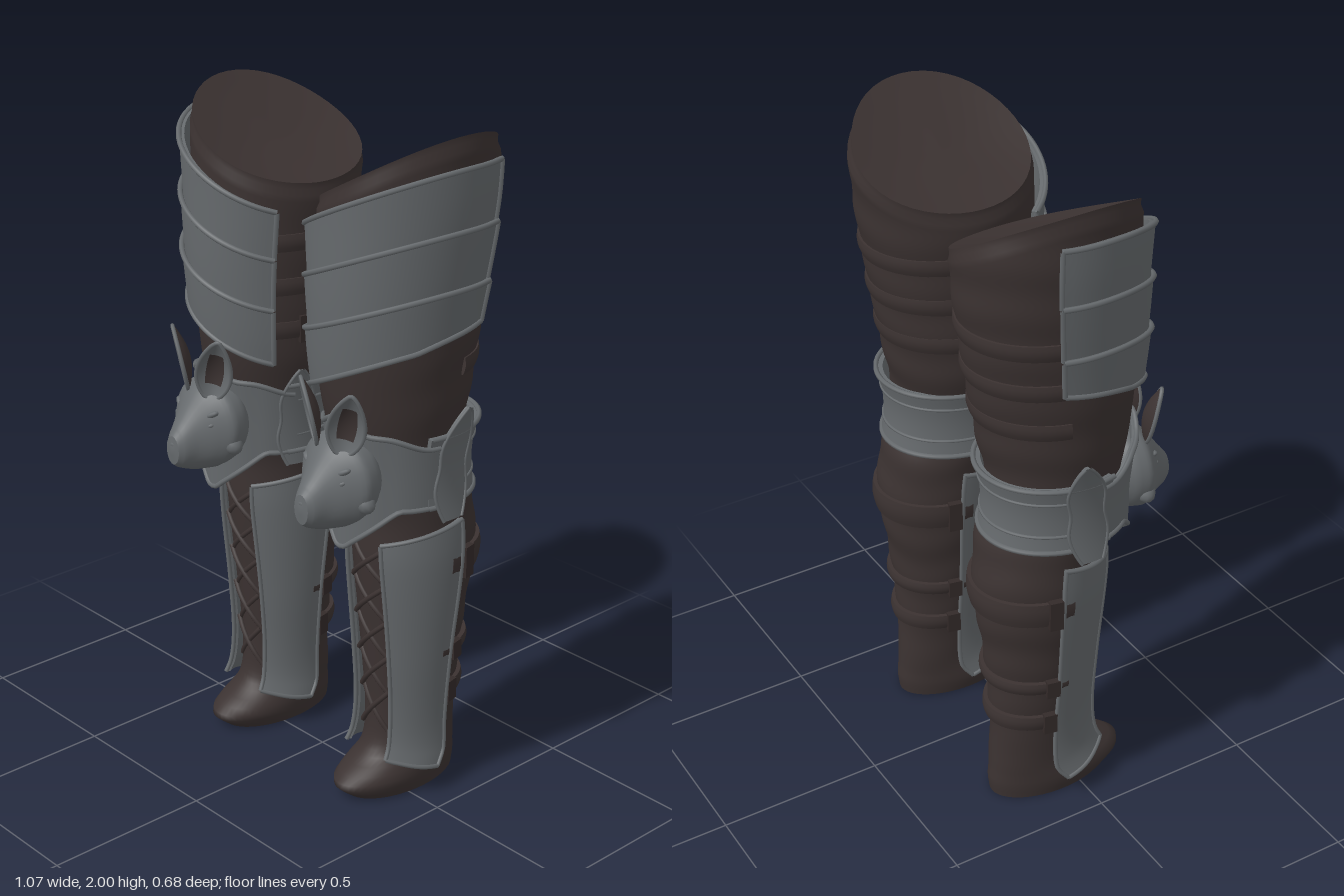
import * as THREE from 'three';
import { mergeVertices, mergeGeometries } from 'three/addons/utils/BufferGeometryUtils.js';

const D = Math.PI / 180;
const { lerp } = THREE.MathUtils;
const mat = (name, color) => Object.assign(new THREE.MeshStandardMaterial({ color }), { name });

// Cross-sections: [y, centre x, radius x, centre z, radius z]
const LEG = [
  [0, .28, .104, -.055, .195], [.045, .28, .114, -.033, .222], [.075, .28, .112, -.047, .205], [.12, .28, .107, -.085, .165],
  [.22, .28, .11, -.095, .148], [.45, .28, .135, -.095, .157], [.75, .28, .165, -.1, .187],
  [.9, .275, .17, -.092, .182], [1.05, .27, .17, -.045, .187], [1.25, .262, .197, -.038, .222],
  [1.5, .265, .21, -.05, .25], [1.8, .268, .227, -.07, .264], [2, .268, .228, -.07, .264],
];
const KNEE = [[.8, .28, .172, -.05, .205], [1.05, .28, .18, -.042, .205], [1.25, .28, .196, -.045, .225]];

// Smoothly interpolated cross-section at height y
function section(prof, y) {
  let i = 0;
  while (i < prof.length - 2 && y > prof[i + 1][0]) i++;
  const a = prof[i], b = prof[i + 1], p = prof[i - 1] || a, n = prof[i + 2] || b, h = b[0] - a[0];
  const t = THREE.MathUtils.clamp((y - a[0]) / h, 0, 1), t2 = t * t, t3 = t2 * t;
  return a.map((_, k) => {
    const ma = (b[k] - p[k]) / (b[0] - p[0]) * h, mb = (n[k] - a[k]) / (n[0] - a[0]) * h;
    return (2 * t3 - 3 * t2 + 1) * a[k] + (t3 - 2 * t2 + t) * ma + (3 * t2 - 2 * t3) * b[k] + (t3 - t2) * mb;
  });
}
// Point at angle a (0 = front, 90 degrees = outer side), height y, pushed out by off
function at(prof, a, y, off = 0) {
  const [, cx, rx, cz, rz] = section(prof, y);
  return new THREE.Vector3(cx + (rx + off) * Math.sin(a), y, cz + (rz + off) * Math.cos(a));
}
// Surface f(u, v) with faces toward u x v
function grid(nu, nv, f, flip = false) {
  const pos = [], idx = [];
  for (let j = 0; j <= nv; j++) for (let i = 0; i <= nu; i++) pos.push(...f(i / nu, j / nv).toArray());
  for (let j = 0; j < nv; j++) for (let i = 0; i < nu; i++) {
    const a = j * (nu + 1) + i, b = a + 1, c = a + nu + 1, d = c + 1;
    idx.push(...(flip ? [a, d, b, a, c, d] : [a, b, d, a, d, c]));
  }
  let g = new THREE.BufferGeometry();
  g.setAttribute('position', new THREE.Float32BufferAttribute(pos, 3));
  g.setIndex(idx);
  g = mergeVertices(g, 1e-5);
  g.computeVertexNormals();
  return g;
}
// Curved plate: fn(u, v) gives [angle, y, offset]
function plate(prof, fn, nu, nv, th = .012) {
  const o = (u, v) => { const [a, y, f] = fn(u, v); return at(prof, a, y, f); };
  const n = (u, v) => { const [a, y, f] = fn(u, v); return at(prof, a, y, f - th); };
  const mix = (u, v, t) => o(u, v).lerp(n(u, v), t);
  return mergeGeometries([
    grid(nu, nv, o), grid(nu, nv, n, true),
    grid(nu, 1, (u, t) => mix(u, 0, t), true), grid(nu, 1, (u, t) => mix(u, 1, t)),
    grid(1, nv, (t, v) => mix(0, v, t), true), grid(1, nv, (t, v) => mix(1, v, t)),
  ]);
}
function tube(points, r) {
  const g = new THREE.TubeGeometry(new THREE.CatmullRomCurve3(points, false, 'centripetal'), points.length * 2, r, 6);
  return g.deleteAttribute('uv');
}
// Rolled rims along plate edges: 'b'ottom, 't'op, 'l'eft, 'r'ight
function rims(prof, fn, sides, r) {
  const walk = { b: t => [t, 0], t: t => [t, 1], l: t => [0, t], r: t => [1, t] };
  return mergeGeometries([...sides].map(s => tube(Array.from({ length: 21 }, (_, i) => {
    const [a, y, f] = fn(...walk[s](i / 20));
    return at(prof, a, y, f);
  }), r)));
}

export function createModel() {
  const leather = mat('dark leather', 0x3b3231), steel = mat('dull steel', 0x666a6d), strapMat = mat('strap leather', 0x332a29);
  const parts = [];
  const add = (name, geo, m) => parts.push([name, geo, m]);

  // Leather legging with slanted top and soft folds at the back
  const topY = a => 1.862 + .1175 * Math.sin(a) + .0175 * Math.sin(a) ** 2;
  const skin = (a, v) => {
    const y = v * topY(a), fold = (1 - Math.cos(a)) / 2 * Math.min(1, y * 2);
    return at(LEG, a, y, .003 * fold * Math.sin(y * 42 + Math.sin(a * 2)) - (v > .985 ? .008 : 0));
  };
  add('legging', grid(48, 100, (u, v) => skin(u * 2 * Math.PI, v)), leather);
  const cap = (v, mid, dip) => grid(48, 8, (u, t) => {
    const p = skin(u * 2 * Math.PI, v);
    p.lerp(mid, t);
    p.y -= dip * (1 - (1 - t) ** 2);
    return p;
  }, v === 0);
  add('leggingTop', cap(1, new THREE.Vector3(.268, 1.87, -.07), .03), leather);
  add('sole', cap(0, new THREE.Vector3(.28, 0, -.05), -.012), leather);

  // Three overlapping thigh plates wrapping the outer side
  const rows = [[1.245, 1.435], [1.41, 1.585], [1.56, 1.75], [1.70, 1.92]];
  const rise = a => (Math.sin(Math.min(a, Math.PI / 2)) + .8) / 1.8;
  for (let k = 0; k < 3; k++) {
    const fn = (u, v) => {
      const a = lerp(-53, 110, u) * D, t = rise(a);
      const back = k === 0 ? .035 * Math.max(0, (u - .7) / .3) * (1 - v) : 0;
      return [a, lerp(lerp(...rows[k], t), lerp(...rows[k + 1], t), v) + back, .024 + .008 * v];
    };
    add('thighPlate', plate(LEG, fn, 28, 5, .016), steel);
    add('thighPlateRim', rims(LEG, fn, k === 0 ? 'btlr' : 'tlr', .008), steel);
  }

  // Straps around the back of thigh and calf, with buckles
  const strap = (y, h, a0, a1, off) => add('strap',
    plate(LEG, (u, v) => [lerp(a0, a1, u) * D, y + (v - .5) * h, off + .005 * Math.sin(v * Math.PI)], 28, 4, .02), leather);
  const buckle = (a, y, w, h, off) => {
    const p = at(LEG, a * D, y, off);
    add('buckle', new THREE.BoxGeometry(w, h, .02).rotateY(a * D).translate(p.x, p.y, p.z), strapMat);
  };
  for (const y of [1.34, 1.47, 1.6]) strap(y, .05, 105, 312, .004);
  buckle(-88, 1.6, .07, .07, .008);
  buckle(-80, 1.34, .06, .08, 0);
  for (const [y, h] of [[.74, .08], [.45, .04], [.31, .05]]) {
    strap(y, h, 85, 275, .013);
    buckle(102, y, .04, h + .015, .016);
    buckle(-102, y, .04, h + .015, .016);
  }

  // Two shin plates with an open front
  for (const s of [1, -1]) {
    const fn = (u, v) => {
      const t = s > 0 ? u : 1 - u, a = lerp(lerp(34, 21, v), 95, t);
      return [s * a * D, lerp(.13 - .05 * t, .82 + .06 * t, v), .016 + .02 * (1 - v) ** 6 + .006 * (1 - t) ** 4];
    };
    add('shinPlate', plate(LEG, fn, 12, 24, .014), steel);
    add('shinPlateRim', rims(LEG, fn, 'btlr', .007), steel);
  }

  // Crossed laces between the shin plates
  for (let k = 0; k < 5; k++) for (const s of [1, -1]) {
    const y = .2 + k * .12;
    add('lace', tube([-1, -.5, 0, .5, 1].map(t => at(LEG, s * t * 26 * D, y + (t + 1) * .065, .004 + .003 * s)), .008), leather);
  }

  // Knee cap with pointed lower edge
  const capFn = (u, v) => {
    const d = lerp(-72, 80, u), s = Math.abs(d) / 75;
    const lo = .82 + .13 * Math.min(1, Math.abs(d) / 48), hi = 1.13 + .09 * Math.exp(-((d / 20) ** 2)) + .04 * Math.sin(Math.min(1, s) * Math.PI) ** 2;
    return [d * D, lerp(lo, hi, v), .012 + .02 * Math.max(0, 1 - Math.abs(d) / 40)];
  };
  add('kneeCap', plate(KNEE, capFn, 36, 10, .014), steel);
  add('kneeCapRim', rims(KNEE, capFn, 'bt', .008), steel);
  // Band around the back of the knee
  const bandFn = (u, v) => [lerp(72, 294, u) * D, lerp(.95, 1.16, v), .008 + .008 * (2 * v - 1) ** 2];
  add('kneeBand', plate(KNEE, bandFn, 32, 8, .02), steel);
  add('kneeBandRim', rims(KNEE, bandFn, 'bt', .008), steel);
  for (const y of [1.0, 1.11])
    add('kneeBandRidge', tube(Array.from({ length: 25 }, (_, i) => at(KNEE, lerp(80, 285, i / 24) * D, y, .01)), .005), steel);
  // Flared wings, pinched at the middle, on both sides of the knee
  for (const [mid, lean, top, base, flare] of [[90, 8, 1.24, .018, .018], [-74, -2, 1.21, .012, .008]]) {
    const wingFn = (u, v) => {
      const w = 18 * Math.sin(Math.PI * lerp(.12, .99, v)) ** .8 * (1 - .25 * Math.exp(-(((v - .48) / .16) ** 2)));
      return [(mid + lean * v + (2 * u - 1) * w) * D, lerp(.91, top, v), base + flare * (2 * v - 1) ** 2];
    };
    add('kneeWing', plate(KNEE, wingFn, 8, 16, .012), steel);
    add('kneeWingRim', rims(KNEE, wingFn, 'lr', .005), steel);
  }

  // Rabbit head: rings of centre y, radius x, radius y at depths zs
  const zs = [.12, .16, .2, .24, .28, .315, .332];
  const head = new THREE.CatmullRomCurve3([[1.05, .1, .1], [1.045, .128, .13], [1.04, .134, .134],
    [1.025, .1, .122], [1.003, .062, .092], [.987, .042, .062], [.982, .028, .044]].map(r => new THREE.Vector3(...r)));
  const headAt = (u, v) => {
    const q = head.getPoint(v), k = Math.min(5, Math.floor(v * 6)), a = u * 2 * Math.PI;
    return new THREE.Vector3(.28 + q.y * Math.cos(a), q.x + q.z * Math.sin(a), lerp(zs[k], zs[k + 1], v * 6 - k));
  };
  add('rabbitHead', grid(28, 24, headAt), steel);
  add('rabbitMuzzle', grid(28, 3, (u, t) => headAt(u, 1).lerp(new THREE.Vector3(.28, .982, .337), t)), steel);
  const ball = (name, x, y, z, sx, sy, sz, tilt) =>
    add(name, new THREE.SphereGeometry(1, 14, 10).scale(sx, sy, sz).rotateZ(tilt).translate(x, y, z), steel);
  ball('nose', .28, 1.0, .322, .02, .014, .014, 0);
  for (const s of [1, -1]) {
    ball('cheek', .28 + s * .1, 1.0, .195, .042, .03, .03, -s * .5);
    ball('brow', .28 + s * .06, 1.083, .236, .036, .012, .02, s * .5);
    ball('eye', .28 + s * .068, 1.055, .246, .02, .01, .014, s * .5);
    // Cupped ear: steel front, leather lining and back
    const ear = (k, dz) => (u, v) => {
      const t = lerp((1 - k) / 2, (1 + k) / 2, v), w = .05 * k * Math.sin(Math.PI * t ** .85) ** .75 + .002, x = 2 * u - 1;
      return new THREE.Vector3(x * w, t * .2, -.026 * Math.sin(Math.PI * t) * (1 - x * x * k * k) + dz);
    };
    const place = g => g.rotateY(s * .6).rotateX(.06).rotateZ(-s * .27).translate(.28 + s * .052, 1.125, .232);
    add('earFront', place(grid(8, 14, ear(1, 0))), steel);
    add('earLining', place(grid(8, 12, ear(.5, .003))), leather);
    add('earBack', place(grid(8, 14, ear(1, -.008), true)), leather);
    const f = ear(1, -.004), n = 16;
    add('earRim', place(tube([...Array(n)].map((_, i) => f(0, i / (n - 1))).concat([...Array(n - 1)].map((_, i) => f(1, 1 - (i + 1) / (n - 1)))), .006)), steel);
  }

  // Left leg as built, right leg mirrored
  const model = new THREE.Group();
  model.name = 'legArmour';
  for (const side of ['left', 'right']) {
    const leg = new THREE.Group();
    leg.name = side + 'Leg';
    for (const [name, geo, m] of parts) {
      let g = geo;
      if (side === 'right') {
        g = geo.clone().scale(-1, 1, 1);
        g.setIndex(Array.from(geo.index.array).reverse());
      }
      const mesh = new THREE.Mesh(g, m);
      mesh.name = name;
      leg.add(mesh);
    }
    model.add(leg);
  }
  return model;
}
